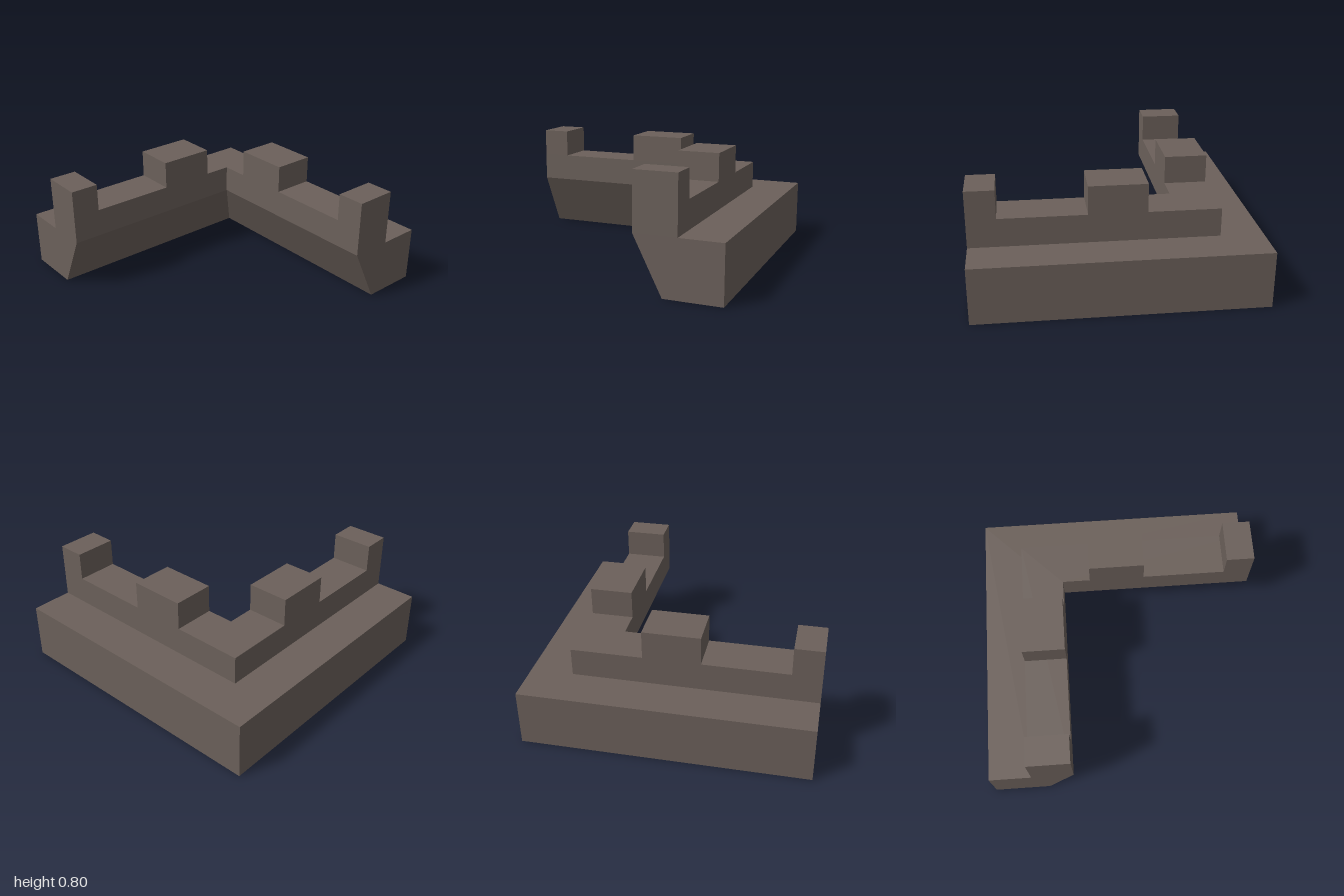
import * as THREE from 'three';

// Wall cross-section: distance across the wall (outer face at -1) and height
const PROFILE = [
  [-1, 0], [-0.6, 0], [-0.4, 0.4], [-0.4, 0.6], [-0.7, 0.6], [-0.7, 0.4], [-1, 0.4],
];

// Sweeps the cross-section along the left arm, round a mitred corner and along the back arm
function cornerWallGeometry() {
  const stations = [
    ([d, y]) => [d, y, 1],
    ([d, y]) => [d, y, d],
    ([d, y]) => [1, y, d],
  ];
  const positions = [];
  const triangle = (...corners) => corners.forEach((c) => positions.push(...c));

  // Long faces
  for (let s = 0; s < 2; s++) {
    PROFILE.forEach((p, i) => {
      const q = PROFILE[(i + 1) % PROFILE.length];
      const [a, b] = [stations[s](p), stations[s](q)];
      const [a2, b2] = [stations[s + 1](p), stations[s + 1](q)];
      triangle(a, a2, b2);
      triangle(a, b2, b);
    });
  }

  // End faces
  const outline = PROFILE.map(([d, y]) => new THREE.Vector2(d, y));
  for (const face of THREE.ShapeUtils.triangulateShape(outline, [])) {
    const [i, j, k] = face.map((n) => PROFILE[n]);
    triangle(...[i, j, k].map(stations[0]));
    triangle(...[k, j, i].map(stations[2]));
  }

  const geometry = new THREE.BufferGeometry();
  geometry.setAttribute('position', new THREE.Float32BufferAttribute(positions, 3));
  geometry.computeVertexNormals();
  return geometry;
}

export function createModel() {
  const model = new THREE.Group();
  model.name = 'cornerBattlement';

  const stone = new THREE.MeshStandardMaterial({ color: 0x6b605a });
  stone.name = 'stone';

  const add = (name, geometry, x = 0, y = 0, z = 0) => {
    const mesh = new THREE.Mesh(geometry, stone);
    mesh.name = name;
    mesh.position.set(x, y, z);
    model.add(mesh);
  };

  // Walkway and parapet with the sloped inner face
  add('cornerWall', cornerWallGeometry());

  // Merlons, mirrored on both arms: [start, end] along the arm
  for (const [name, start, end] of [['middleMerlon', -0.2, 0.2], ['endMerlon', 0.8, 1]]) {
    const length = end - start;
    const centre = (start + end) / 2;
    add(name + 'Back', new THREE.BoxGeometry(length, 0.2, 0.3), centre, 0.7, -0.55);
    add(name + 'Side', new THREE.BoxGeometry(0.3, 0.2, length), -0.55, 0.7, centre);
  }

  return model;
}
